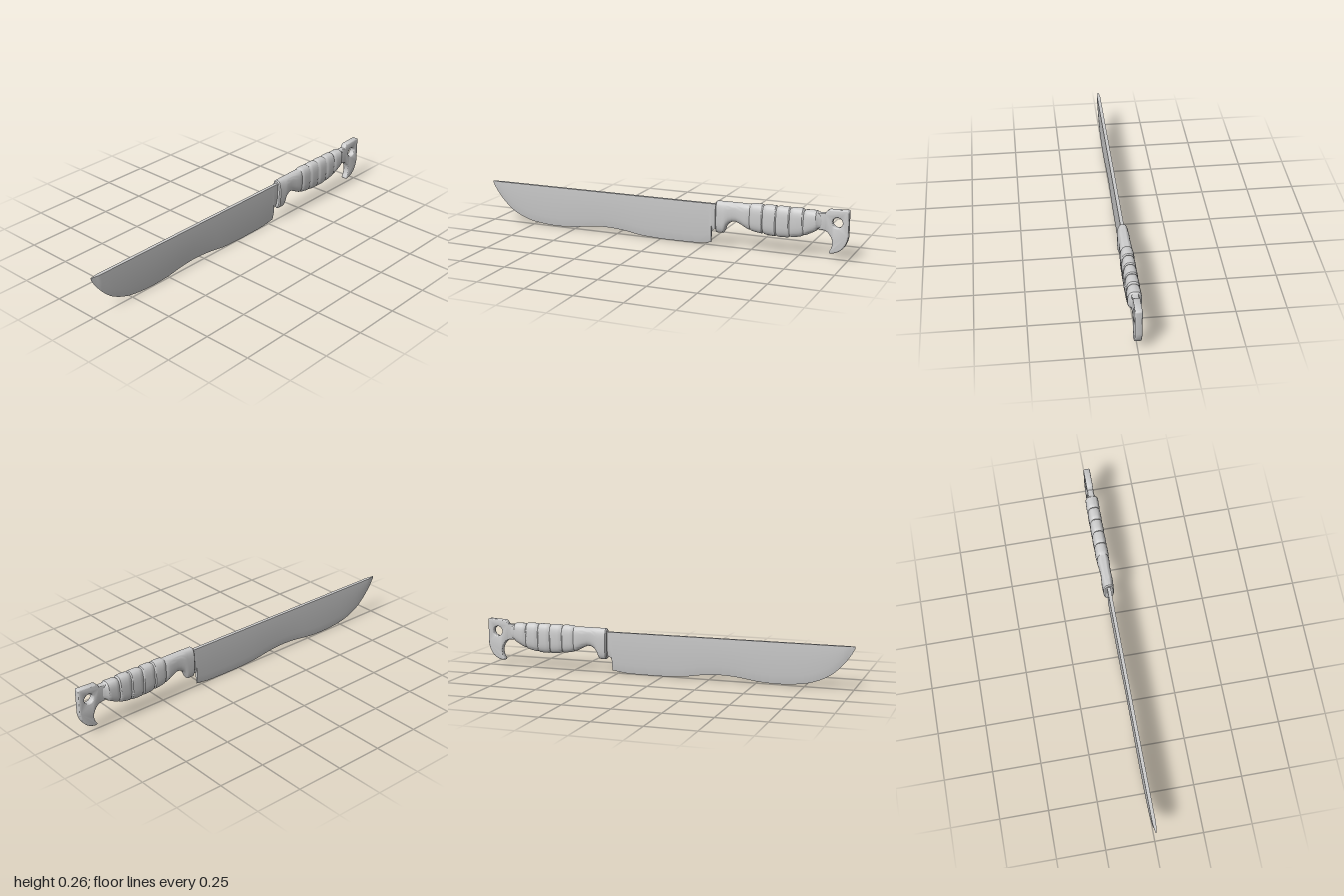
import * as THREE from 'three';
import { toCreasedNormals } from 'three/addons/utils/BufferGeometryUtils.js';

const material = new THREE.MeshStandardMaterial({ color: 0xcccccc });

function part(name, geometry, crease) {
  const mesh = new THREE.Mesh(toCreasedNormals(geometry, crease), material);
  mesh.name = name;
  return mesh;
}

// Skin a list of equal-length rings, ordered from +z to -z, and cap both ends
function loft(rings) {
  const n = rings[0].length, index = [];
  for (let i = 0; i < rings.length - 1; i++) {
    for (let j = 0; j < n; j++) {
      const a = i * n + j, b = i * n + (j + 1) % n;
      index.push(a, a + n, b, b, a + n, b + n);
    }
  }
  const last = (rings.length - 1) * n;
  for (let j = 1; j < n - 1; j++) {
    index.push(0, j, j + 1, last, last + j + 1, last + j);
  }
  const geometry = new THREE.BufferGeometry();
  geometry.setAttribute('position', new THREE.Float32BufferAttribute(rings.flat(2), 3));
  geometry.setIndex(index);
  return geometry;
}

const spline = (points) => new THREE.SplineCurve(points.map(([z, y]) => new THREE.Vector2(z, y)));

// Blade: straight spine, flat cheeks and a bevel that follows the wavy edge
function createBlade() {
  const spine = 0.22;
  const edge = spline([
    [1, 0.208], [0.975, 0.165], [0.93, 0.11], [0.87, 0.06], [0.78, 0.022], [0.68, 0.007],
    [0.59, 0.004], [0.5, 0.01], [0.41, 0.023], [0.31, 0.029], [0.21, 0.022], [0.11, 0.007],
    [0, 0.001], [-0.1, 0.001], [-0.2, 0.003], [-0.283, 0.014],
  ]).getPoints(60).map((p) => [p.x, Math.max(0, p.y)]);
  // Heel notch and tang inside the handle
  edge.push([-0.286, 0.075], [-0.305, 0.088], [-0.34, 0.09]);
  const rings = edge.map(([z, y]) => {
    const w = 0.009 * Math.min(1, 0.25 + (1 - z) / 0.06);
    const bevel = Math.min(y + 0.045, spine - 0.004);
    return [[w, spine, z], [-w, spine, z], [-w, bevel, z], [0, y, z], [w, bevel, z]];
  });
  return part('blade', loft(rings), 0.6);
}

// Grip: rounded sections, finger guard in front, wrapped rings behind
function createGrip() {
  // z, bottom, top, half width
  const stations = [
    [-0.31, 0.078, 0.232, 0.022], [-0.316, 0.072, 0.238, 0.028], [-0.35, 0.073, 0.238, 0.03],
    [-0.358, 0.085, 0.238, 0.03], [-0.366, 0.108, 0.238, 0.03], [-0.38, 0.127, 0.238, 0.029],
    [-0.4, 0.138, 0.238, 0.028], [-0.42, 0.139, 0.238, 0.028], [-0.445, 0.128, 0.238, 0.03],
    [-0.47, 0.114, 0.238, 0.032], [-0.488, 0.106, 0.237, 0.032],
  ];
  const belly = [0.102, 0.091, 0.085, 0.088, 0.104, 0.142];
  const start = -0.495, pitch = 0.07;
  for (let i = 0; i < 5; i++) {
    for (const [t, inset] of [[0, 0.006], [0.1, 0.001], [0.3, 0], [0.7, 0], [0.9, 0.001], [0.98, 0.006]]) {
      const bottom = THREE.MathUtils.lerp(belly[i], belly[i + 1], t);
      const top = i < 4 ? 0.244 : 0.24;
      stations.push([start - pitch * (i + t), bottom + inset, top - inset, 0.0345 - inset]);
    }
  }
  stations.push([-0.855, 0.15, 0.23, 0.022], [-0.87, 0.156, 0.226, 0.015]);

  const sides = 32, power = 2 / 2.8;
  const round = (v) => Math.sign(v) * Math.abs(v) ** power;
  const rings = stations.map(([z, bottom, top, w]) => Array.from({ length: sides }, (_, j) => {
    const a = (j / sides) * Math.PI * 2;
    return [w * round(Math.cos(a)), (top + bottom) / 2 + (top - bottom) / 2 * round(Math.sin(a)), z];
  }));
  return part('grip', loft(rings), 0.65);
}

// Pommel: flat plate with a lanyard hole and a hook curling forward
function createPommel() {
  const s = new THREE.Shape();
  s.moveTo(-0.84, 0.232);
  s.lineTo(-0.882, 0.232);
  s.quadraticCurveTo(-0.89, 0.25, -0.902, 0.253);
  s.lineTo(-0.992, 0.257);
  s.quadraticCurveTo(-1, 0.257, -1, 0.249);
  s.lineTo(-1, 0.125);
  s.bezierCurveTo(-0.995, 0.08, -0.97, 0.038, -0.915, 0.031);
  s.quadraticCurveTo(-0.902, 0.031, -0.906, 0.042);
  s.bezierCurveTo(-0.925, 0.065, -0.925, 0.1, -0.908, 0.122);
  s.quadraticCurveTo(-0.893, 0.146, -0.87, 0.146);
  s.lineTo(-0.84, 0.15);
  s.closePath();
  const hole = new THREE.Path();
  hole.absarc(-0.944, 0.19, 0.026, 0, Math.PI * 2, true);
  s.holes.push(hole);

  const bevel = 0.006, width = 0.034;
  const geometry = new THREE.ExtrudeGeometry(s, {
    depth: width - 2 * bevel, curveSegments: 14,
    bevelThickness: bevel, bevelSize: bevel, bevelOffset: -bevel, bevelSegments: 3,
  });
  geometry.translate(0, 0, bevel - width / 2);
  geometry.rotateY(-Math.PI / 2);
  return part('pommelHook', geometry, 0.7);
}

export function createModel() {
  const model = new THREE.Group();
  model.name = 'machete';
  model.add(createBlade(), createGrip(), createPommel());
  return model;
}
